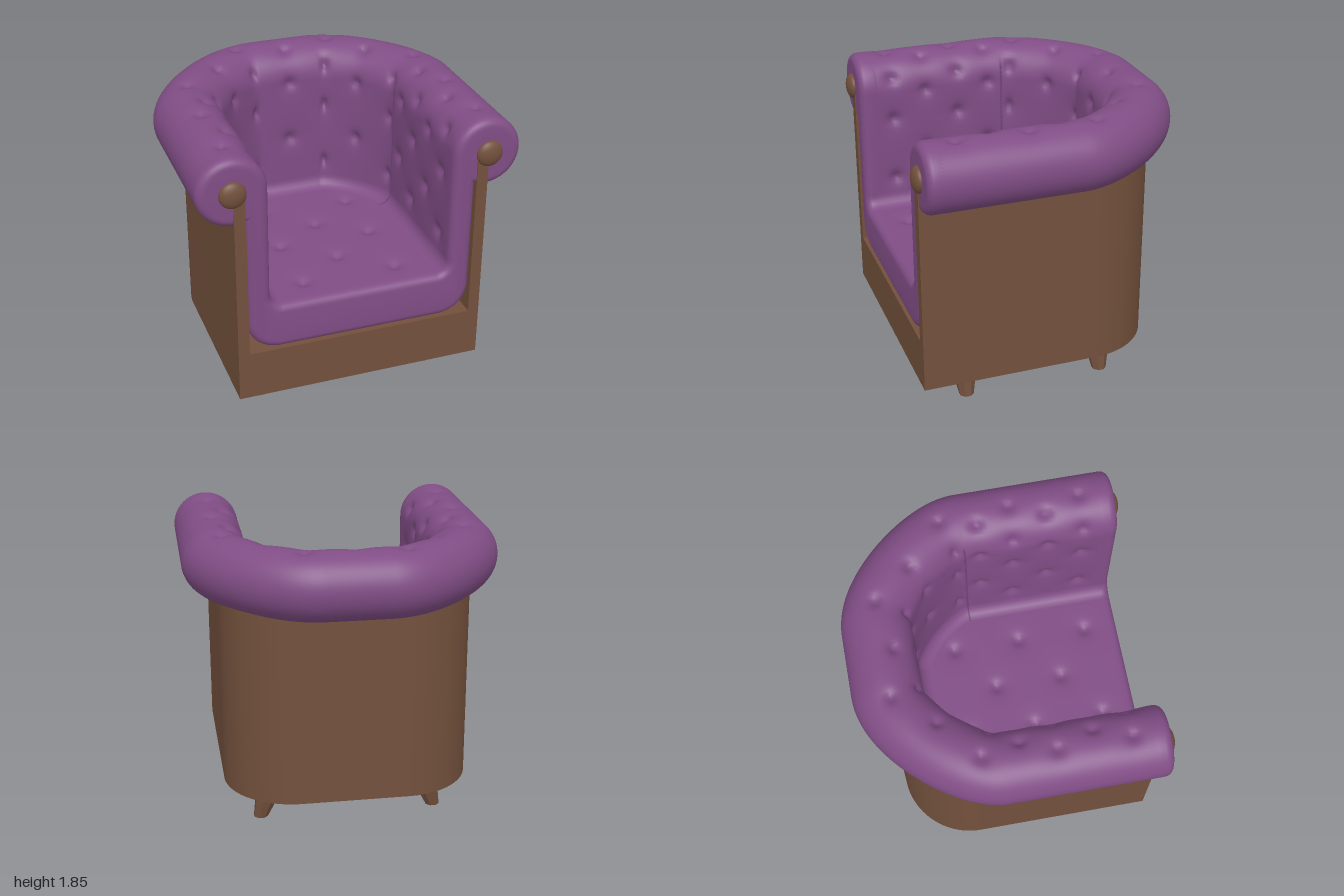
import * as THREE from 'three';
import { toCreasedNormals } from 'three/addons/utils/BufferGeometryUtils.js';
import { ParametricGeometry } from 'three/addons/geometries/ParametricGeometry.js';

const HALF = 0.785;                 // half width of the wooden body
const ROLL_Y = 1.64, ROLL_R = 0.213; // rolled arm and back
const SEAT_Y = 0.842, FILLET = 0.08;

const leather = new THREE.MeshStandardMaterial({ color: 0x804d85, side: THREE.DoubleSide });
const wood = new THREE.MeshStandardMaterial({ color: 0x72503c });
const woodFlat = new THREE.MeshStandardMaterial({ color: 0x72503c, flatShading: true });

function add(group, name, geometry, material) {
  const mesh = new THREE.Mesh(geometry, material);
  mesh.name = name;
  group.add(mesh);
  return mesh;
}

// Depth of the button dimples at a point, given squared distances
const dimple = (r2) => 0.024 * Math.exp(-r2 / 0.0016) + 0.009 * Math.exp(-r2 / 0.008);

// Horseshoe path of the rolled back, from the left arm round to the right arm (x, z)
function rollPath() {
  const p = new THREE.Path();
  p.moveTo(HALF, 0.8);
  p.lineTo(HALF, -0.1);
  p.bezierCurveTo(HALF, -0.3, 0.45, -0.7, 0.2, -0.7);
  p.lineTo(-0.2, -0.7);
  p.bezierCurveTo(-0.45, -0.7, -HALF, -0.3, -HALF, -0.1);
  p.lineTo(-HALF, 0.8);
  return p;
}

// Padding cross-section: round the roll, down the inner wall, fillet into the seat
// Returns [inward offset, height, normal inward, normal up]
function paddingProfile(v) {
  const start = 5.2, arc = start * ROLL_R;
  const wall = ROLL_Y - SEAT_Y - FILLET, bend = FILLET * Math.PI / 2;
  let t = v * (arc + wall + bend);
  if (t < arc) {
    const a = start - t / ROLL_R;
    return [ROLL_R * Math.cos(a), ROLL_Y + ROLL_R * Math.sin(a), Math.cos(a), Math.sin(a)];
  }
  t -= arc;
  if (t < wall) return [ROLL_R, ROLL_Y - t, 1, 0];
  const a = (t - wall) / FILLET;
  return [ROLL_R + FILLET * (1 - Math.cos(a)), SEAT_Y + FILLET * (1 - Math.sin(a)), Math.cos(a), Math.sin(a)];
}

// Tufted back and arms in one skin
function paddingGeometry() {
  const path = rollPath(), length = path.getLength(), half = length / 2;
  const columns = [0, 0.31, 0.62];
  for (const z of [-0.23, 0, 0.21, 0.43, 0.65]) columns.push(half - 0.8 + z);
  const rows = [
    [[0.09, 1.833], [ROLL_R, 1.63], [ROLL_R, 1.23]],
    [[0, 1.853], [0.193, 1.73], [ROLL_R, 1.45], [ROLL_R, 1.03]],
  ];
  return new ParametricGeometry((u, v, target) => {
    const c = path.getPointAt(u), tan = path.getTangentAt(u);
    const s = Math.abs(u - 0.5) * length;
    const [d, y, nd, ny] = paddingProfile(v);
    let sink = 0;
    columns.forEach((col, i) => {
      if (Math.abs(s - col) > 0.25) return;
      for (const [bd, by] of rows[i % 2]) {
        sink += dimple((s - col) ** 2 + (d - bd) ** 2 + (y - by) ** 2);
      }
    });
    const off = d - nd * sink;
    target.set(c.x + tan.y * off, y - ny * sink, c.y - tan.x * off);
  }, 180, 90);
}

// Tufted seat top
function seatGeometry() {
  const buttons = [[0, 0], [0, 0.43]];
  for (const x of [-0.3, 0.3]) for (const z of [-0.23, 0.2, 0.65]) buttons.push([x, z]);
  return new ParametricGeometry((u, v, target) => {
    const x = -0.6 + 1.2 * v, z = -0.55 + 1.35 * u;
    let y = SEAT_Y;
    for (const [bx, bz] of buttons) y -= dimple((x - bx) ** 2 + (z - bz) ** 2);
    target.set(x, y, z);
  }, 64, 56);
}

// Front border: seat edge, arm fronts and scroll ends as one rounded slab
function frontBorderGeometry() {
  const out = 0.715, inn = HALF - ROLL_R, r = 0.19, seat = SEAT_Y - 0.002, low = 0.545;
  const a0 = Math.acos((out - HALF) / ROLL_R);
  const joinY = ROLL_Y - ROLL_R * Math.sin(a0);
  const s = new THREE.Shape();
  s.moveTo(-out + r, low);
  s.lineTo(out - r, low);
  s.quadraticCurveTo(out - 0.02, low + 0.02, out, low + r);
  s.lineTo(out, joinY);
  s.absarc(HALF, ROLL_Y, ROLL_R, -a0, Math.PI, false);
  s.lineTo(inn, seat + FILLET);
  s.absarc(inn - FILLET, seat + FILLET, FILLET, 0, -Math.PI / 2, true);
  s.lineTo(-inn + FILLET, seat);
  s.absarc(-inn + FILLET, seat + FILLET, FILLET, -Math.PI / 2, -Math.PI, true);
  s.lineTo(-inn, ROLL_Y);
  s.absarc(-HALF, ROLL_Y, ROLL_R, 0, Math.PI + a0, false);
  s.lineTo(-out, low + r);
  s.quadraticCurveTo(-out + 0.02, low + 0.02, -out + r, low);
  const b = 0.05;
  const g = new THREE.ExtrudeGeometry(s, {
    depth: 0.05, bevelThickness: b, bevelSize: b, bevelOffset: -b, bevelSegments: 6, curveSegments: 24,
  });
  g.translate(0, 0, 0.77);
  return toCreasedNormals(g, 0.6);
}

// Wooden plan outline (drawn with shape y = -z), extruded upward
const FRONT = 0.876, BACK = 0.7, CORNER = 0.45;
function woodGeometry(y0, y1, hollow) {
  const s = new THREE.Shape(), c = HALF - CORNER, cy = BACK - CORNER;
  s.moveTo(-HALF, -FRONT);
  if (hollow) {
    const t = 0.07, w = HALF - t;
    s.lineTo(-w, -FRONT);
    s.lineTo(-w, cy);
    s.absarc(-c, cy, CORNER - t, Math.PI, Math.PI / 2, true);
    s.absarc(c, cy, CORNER - t, Math.PI / 2, 0, true);
    s.lineTo(w, -FRONT);
  }
  s.lineTo(HALF, -FRONT);
  s.absarc(c, cy, CORNER, 0, Math.PI / 2, false);
  s.absarc(-c, cy, CORNER, Math.PI / 2, Math.PI, false);
  const g = new THREE.ExtrudeGeometry(s, { depth: y1 - y0, bevelEnabled: false, curveSegments: 16 });
  g.rotateX(-Math.PI / 2);
  g.translate(0, y0, 0);
  return toCreasedNormals(g, 0.6);
}

// Tapered leg whose foot splays outward
function legGeometry(side) {
  const h = 0.24;
  const g = new THREE.CylinderGeometry(0.098, 0.047, h, 8);
  g.rotateY(Math.PI / 8);
  g.translate(0, h / 2, 0);
  const p = g.attributes.position;
  for (let i = 0; i < p.count; i++) p.setX(i, p.getX(i) + side * 0.075 * (1 - p.getY(i) / h));
  g.computeVertexNormals();
  return g;
}

export function createModel() {
  const chair = new THREE.Group();
  chair.name = 'tubArmchair';

  add(chair, 'woodenBase', woodGeometry(0.23, 0.545, false), wood);
  add(chair, 'woodenShell', woodGeometry(0.545, ROLL_Y, true), wood);
  add(chair, 'tuftedBackAndArms', paddingGeometry(), leather);
  add(chair, 'tuftedSeat', seatGeometry(), leather);
  add(chair, 'frontBorder', frontBorderGeometry(), leather);

  for (const side of [-1, 1]) {
    const label = side > 0 ? 'left' : 'right';
    // Domed knob at the centre of the scroll
    const knob = add(chair, label + 'ArmKnob', new THREE.SphereGeometry(0.082, 32, 20), wood);
    knob.scale.z = 0.5;
    knob.position.set(side * 0.788, ROLL_Y, 0.872);
    for (const [end, z] of [['Front', 0.545], ['Back', -0.365]]) {
      const leg = add(chair, label + end + 'Leg', legGeometry(side), woodFlat);
      leg.position.set(side * 0.49, 0, z);
    }
  }
  return chair;
}
